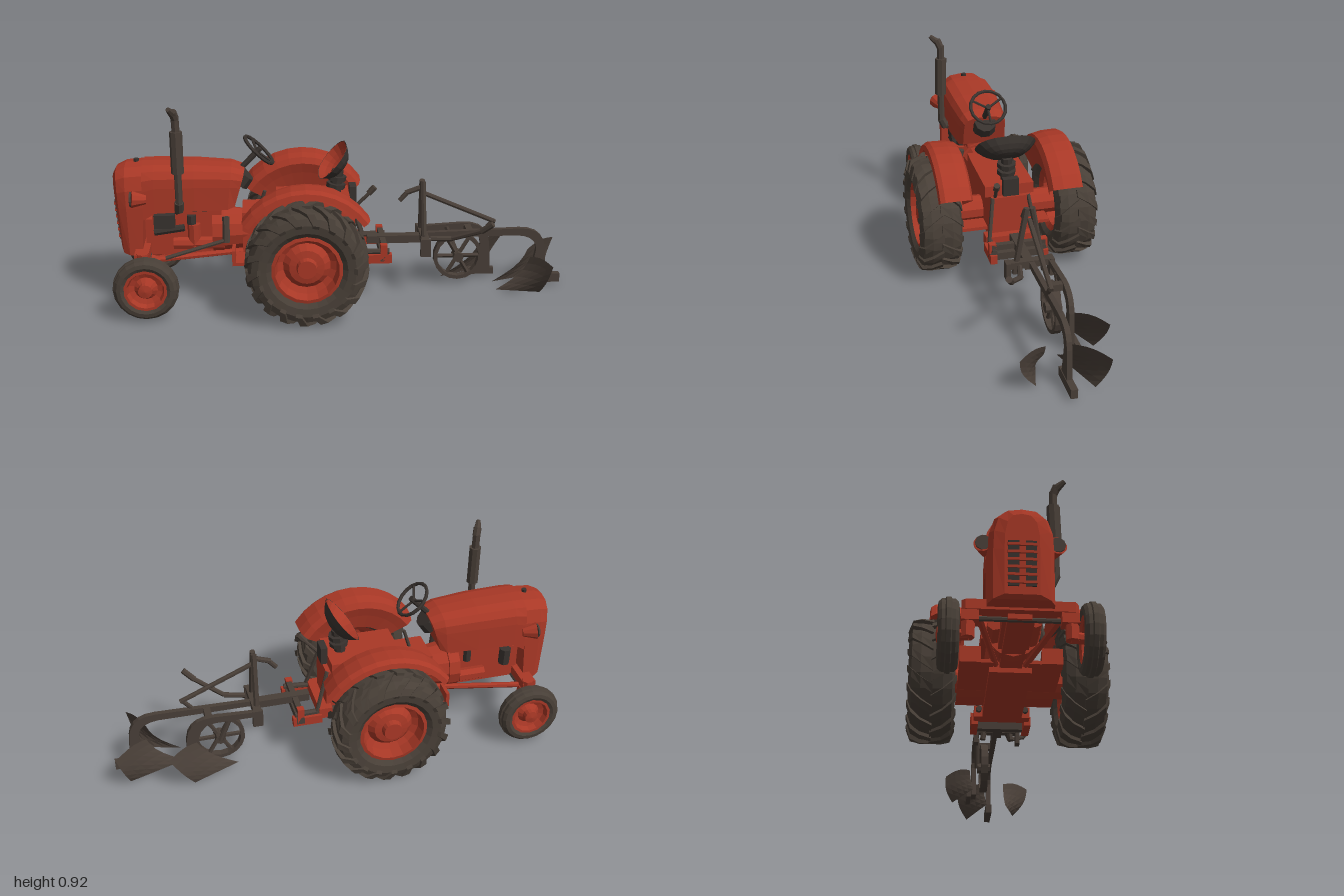
import * as THREE from 'three';
import { mergeGeometries } from 'three/addons/utils/BufferGeometryUtils.js';

const paint = (name, color) => new THREE.MeshStandardMaterial({ name, color, side: THREE.DoubleSide });
const V = (p) => new THREE.Vector3(...p);

// Faceted copy of a geometry
function facet(geo) {
  const g = geo.index ? geo.toNonIndexed() : geo;
  g.computeVertexNormals();
  return g;
}

// Curved sheet: fn(u, v) returns a point
function sheet(fn, nu, nv) {
  const g = new THREE.PlaneGeometry(1, 1, nu, nv), p = g.attributes.position;
  for (let i = 0; i < p.count; i++) p.setXYZ(i, ...fn(p.getX(i) + 0.5, p.getY(i) + 0.5));
  return g;
}

// Arched cross-sections [xTop, xBottom, halfWidth, top, bottom] joined along x
function loft(sections) {
  const arch = [[1, 0], [1, 0.55], [0.97, 0.75], [0.82, 0.9], [0.5, 0.98], [0, 1]];
  const half = [...arch, ...arch.slice(0, -1).reverse().map(([z, t]) => [-z, t])];
  const pos = [], idx = [], n = half.length;
  for (const [xt, xb, w, top, bot] of sections)
    for (const [z, t] of half) pos.push(xb + (xt - xb) * t, bot + (top - bot) * t, z * w);
  for (let s = 0; s < sections.length - 1; s++)
    for (let i = 0; i < n; i++) {
      const a = s * n + i, b = s * n + (i + 1) % n;
      idx.push(a, a + n, b, b, a + n, b + n);
    }
  const last = (sections.length - 1) * n;
  for (let i = 1; i < n - 1; i++) idx.push(0, i, i + 1, last, last + i + 1, last + i);
  const g = new THREE.BufferGeometry();
  g.setAttribute('position', new THREE.Float32BufferAttribute(pos, 3));
  g.setIndex(idx);
  return g;
}

// Straight round bar between two points
function rod(a, b, r, r2 = r, sides = 7) {
  const A = V(a), B = V(b), d = B.clone().sub(A);
  const g = new THREE.CylinderGeometry(r2, r, d.length(), sides);
  g.applyQuaternion(new THREE.Quaternion().setFromUnitVectors(V([0, 1, 0]), d.normalize()));
  return g.translate(...A.add(B).multiplyScalar(0.5).toArray());
}

const box = (x0, x1, y0, y1, z0, z1) => new THREE.BoxGeometry(x1 - x0, y1 - y0, Math.abs(z1 - z0))
  .translate((x0 + x1) / 2, (y0 + y1) / 2, (z0 + z1) / 2);

// Solid of revolution about the z axis; points are [radius, z]
const spin = (pts, sides, start = 0, length = Math.PI * 2) => new THREE.LatheGeometry(
  pts.map(([r, z]) => new THREE.Vector2(r, z)), sides, start, length).rotateX(Math.PI / 2);

// Tread bar wrapped from the tyre centre over its shoulder
function lug(a0, s) {
  const path = [[0.26, -0.004], [0.261, 0.045], [0.252, 0.082], [0.208, 0.1]];
  const g = new THREE.BoxGeometry(1, 1, 1, 1, 1, 3), p = g.attributes.position;
  for (let i = 0; i < p.count; i++) {
    const k = Math.round((p.getZ(i) + 0.5) * 3), [r, z] = path[k];
    const a = a0 - s * p.getX(i) * 0.13 - k * 0.12, low = p.getY(i) < 0;
    const rr = low ? r - 0.03 : r;
    p.setXYZ(i, Math.cos(a) * rr, Math.sin(a) * rr, s * (low ? z * 0.85 : z));
  }
  return g;
}

export function createModel() {
  const red = paint('redPaint', 0xa93826), rubber = paint('tyreRubber', 0x483f37);
  const steel = paint('darkSteel', 0x483e37), black = paint('blackIron', 0x38322e);
  const model = new THREE.Group();
  model.name = 'tractorWithPlough';
  const group = (name, parent = model) => {
    const g = new THREE.Group();
    g.name = name;
    parent.add(g);
    return g;
  };
  const add = (parent, name, mat, ...geos) => {
    const m = new THREE.Mesh(mergeGeometries(geos.map((g) => {
      const f = facet(g);
      f.deleteAttribute('uv');
      return f;
    })), mat);
    m.name = name;
    parent.add(m);
    return m;
  };
  const both = (fn) => [fn(1), fn(-1)];

  // Wheels
  for (const s of [1, -1]) {
    const rear = group('rearWheel');
    rear.position.set(-0.18, 0.27, s * 0.31);
    add(rear, 'rearTyre', rubber, spin([[0.145, -0.07], [0.17, -0.09], [0.205, -0.094], [0.233, -0.082],
      [0.247, -0.045], [0.247, 0.045], [0.233, 0.082], [0.205, 0.094], [0.17, 0.09], [0.145, 0.07], [0.145, -0.07]], 24));
    const lugs = [];
    for (let i = 0; i < 18; i++) {
      const a = i / 18 * Math.PI * 2;
      lugs.push(lug(a, 1), lug(a + Math.PI / 18, -1));
    }
    add(rear, 'rearTread', rubber, ...lugs);
    const rim = add(rear, 'rearRim', red, spin([[0.15, 0.075], [0.135, 0.078], [0.125, 0.03], [0.1, 0.015],
      [0.075, 0.04], [0.045, 0.045], [0.04, 0.07], [0, 0.07]], 18), spin([[0.15, -0.075], [0.125, -0.06], [0.125, 0.03]], 18));
    if (s < 0) rim.rotation.y = Math.PI;

    const front = group('frontWheel');
    front.position.set(-0.86, 0.155, s * 0.26);
    add(front, 'frontTyre', rubber, spin([[0.088, -0.03], [0.105, -0.039], [0.122, -0.036], [0.133, -0.025],
      [0.134, -0.012], [0.14, -0.008], [0.14, 0.008], [0.134, 0.012], [0.133, 0.025], [0.122, 0.036],
      [0.105, 0.039], [0.088, 0.03], [0.088, -0.03]], 20));
    const frontRim = add(front, 'frontRim', red, spin([[0.092, 0.033], [0.08, 0.033], [0.072, 0.008], [0.05, 0],
      [0.032, 0.015], [0.03, 0.04], [0, 0.045]], 14), spin([[0.09, -0.033], [0.075, -0.025], [0.072, 0.008]], 14));
    if (s < 0) frontRim.rotation.y = Math.PI;

    // Mudguard with its inner wall
    const guard = add(model, 'rearMudguard', red, spin([[0.17, s * 0.2], [0.24, s * 0.185], [0.285, s * 0.172],
      [0.312, s * 0.185], [0.322, s * 0.23], [0.324, s * 0.3], [0.312, s * 0.32], [0.29, s * 0.325]], 10,
    Math.PI * 0.69, Math.PI * 0.62));
    guard.position.set(-0.18, 0.27, 0);
  }

  // Bonnet, nose and grille
  add(model, 'nose', red, loft([[-1, -0.975, 0.065, 0.59, 0.27], [-0.985, -0.962, 0.105, 0.618, 0.255],
    [-0.945, -0.935, 0.122, 0.636, 0.25], [-0.86, -0.88, 0.126, 0.642, 0.25]]));
  add(model, 'bonnet', red, loft([[-0.87, -0.87, 0.126, 0.642, 0.41], [-0.82, -0.82, 0.126, 0.642, 0.44],
    [-0.65, -0.65, 0.123, 0.638, 0.445], [-0.49, -0.51, 0.112, 0.625, 0.445], [-0.435, -0.48, 0.098, 0.605, 0.455]]));
  const grille = group('grille');
  grille.position.set(-0.9875, 0.41, 0);
  grille.rotation.z = 0.076;
  add(grille, 'grilleOpenings', black, ...both((s) => box(-0.004, 0.003, -0.11, 0.07, s * 0.012, s * 0.052)));
  const slats = [];
  for (let i = 0; i < 6; i++) slats.push(box(-0.008, 0.001, -0.1 + i * 0.03, -0.09 + i * 0.03, -0.054, 0.054));
  add(grille, 'grilleSlats', red, ...slats);
  add(model, 'headlamps', red, ...both((s) => rod([-0.915, 0.512, s * 0.138], [-0.855, 0.505, s * 0.125], 0.038, 0.02, 10)));
  add(model, 'headlampLenses', steel, ...both((s) => rod([-0.921, 0.512, s * 0.138], [-0.914, 0.512, s * 0.138], 0.031, 0.031, 10)));
  add(model, 'radiatorCap', black, rod([-0.9, 0.635, 0], [-0.9, 0.65, 0], 0.012));

  // Engine, gearbox and axles
  add(model, 'engineBlock', red, box(-0.87, -0.56, 0.24, 0.39, -0.06, 0.06), box(-0.88, -0.42, 0.22, 0.26, -0.045, 0.045),
    box(-0.84, -0.54, 0.385, 0.45, -0.065, 0.065));
  add(model, 'engineFittings', black, box(-0.83, -0.74, 0.36, 0.42, 0.055, 0.1), rod([-0.8, 0.32, -0.075], [-0.8, 0.4, -0.08], 0.026),
    rod([-0.83, 0.34, 0.085], [-0.7, 0.36, 0.09], 0.016), box(-0.74, -0.6, 0.43, 0.45, 0.05, 0.085),
    rod([-0.67, 0.37, 0.07], [-0.67, 0.41, 0.07], 0.02), rod([-0.62, 0.36, -0.07], [-0.62, 0.42, -0.07], 0.018));
  add(model, 'engineCovers', red, rod([-0.66, 0.27, 0.07], [-0.66, 0.37, 0.07], 0.028, 0.028, 8),
    rod([-0.75, 0.28, 0.07], [-0.56, 0.28, 0.07], 0.028, 0.028, 8), rod([-0.7, 0.29, -0.08], [-0.58, 0.29, -0.08], 0.03),
    rod([-0.58, 0.32, 0], [-0.53, 0.32, 0], 0.11, 0.11, 12), rod([-0.53, 0.32, 0], [-0.42, 0.32, 0], 0.1, 0.085, 12));
  add(model, 'gearbox', red, box(-0.45, 0.04, 0.2, 0.42, -0.085, 0.085), box(-0.3, 0.02, 0.42, 0.47, -0.11, 0.11),
    rod([-0.18, 0.27, -0.33], [-0.18, 0.27, 0.33], 0.06, 0.06, 10));
  add(model, 'footPlates', red, ...both((s) => box(-0.49, -0.05, 0.222, 0.237, s * 0.07, s * 0.205)),
    ...both((s) => box(-0.495, -0.48, 0.222, 0.29, s * 0.12, s * 0.205)));
  add(model, 'frontAxle', red, box(-0.91, -0.85, 0.24, 0.28, -0.2, 0.2),
    ...both((s) => rod([-0.875, 0.14, s * 0.19], [-0.875, 0.285, s * 0.19], 0.026)),
    ...both((s) => box(-0.905, -0.845, 0.2, 0.24, s * 0.15, s * 0.215)),
    ...both((s) => rod([-0.87, 0.155, s * 0.185], [-0.86, 0.155, s * 0.27], 0.022)),
    ...both((s) => rod([-0.86, 0.235, s * 0.15], [-0.45, 0.235, s * 0.06], 0.013)));
  add(model, 'steeringRods', steel, rod([-0.86, 0.225, -0.18], [-0.86, 0.225, 0.18], 0.01),
    rod([-0.78, 0.25, 0.165], [-0.53, 0.31, 0.13], 0.009), rod([-0.52, 0.41, 0.1], [-0.52, 0.3, 0.125], 0.016));

  // Exhaust
  add(model, 'exhaustPipe', steel, rod([-0.73, 0.43, 0.06], [-0.715, 0.465, 0.135], 0.02),
    rod([-0.715, 0.455, 0.135], [-0.712, 0.5, 0.155], 0.02), rod([-0.712, 0.49, 0.155], [-0.712, 0.64, 0.155], 0.016),
    rod([-0.712, 0.63, 0.155], [-0.712, 0.81, 0.15], 0.027, 0.027, 8),
    rod([-0.712, 0.8, 0.15], [-0.714, 0.875, 0.15], 0.017), rod([-0.713, 0.865, 0.15], [-0.722, 0.9, 0.165], 0.018),
    rod([-0.721, 0.89, 0.162], [-0.736, 0.917, 0.195], 0.018, 0.01));

  // Dashboard and steering wheel
  add(model, 'dashboard', black, rod([-0.47, 0.545, 0], [-0.435, 0.58, 0], 0.06, 0.05, 10));
  const steering = group('steeringWheel');
  steering.position.set(-0.372, 0.678, 0);
  steering.rotation.z = -0.77;
  const spokes = [0, 1, 2].map((i) => rod([0, -0.01, 0],
    [Math.cos(i * 2.094) * 0.082, 0, Math.sin(i * 2.094) * 0.082], 0.006, 0.006, 5));
  add(steering, 'steeringRim', black, new THREE.TorusGeometry(0.082, 0.008, 6, 16).rotateX(Math.PI / 2), ...spokes,
    rod([0, -0.12, 0], [0, 0.01, 0], 0.013));

  // Seat: tilted scoop, painted inside over a dark shell
  const scoop = (depth, lift) => sheet((u, v) => {
    const a = u * Math.PI * 2, r = v * (1 + lift), e = Math.cos(a) * r, d = depth * (1 - v ** 3);
    const z = Math.sign(Math.sin(a)) * Math.abs(Math.sin(a)) ** 0.75 * r;
    return [-0.055 + 0.06 * e + 0.76 * d, 0.627 + 0.068 * e - 0.65 * d, 0.133 * z];
  }, 18, 5);
  add(model, 'seatPan', red, scoop(0.05, 0));
  add(model, 'seatShell', black, scoop(0.057, 0.03));
  add(model, 'seatPost', black, rod([-0.045, 0.46, 0], [-0.03, 0.58, 0], 0.026, 0.026, 8),
    rod([-0.04, 0.5, 0], [-0.037, 0.52, 0], 0.042, 0.042, 8), rod([-0.036, 0.535, 0], [-0.033, 0.555, 0], 0.042, 0.042, 8),
    box(0.02, 0.05, 0.43, 0.51, -0.035, 0.035));
  add(model, 'controlLevers', steel, rod([0.04, 0.43, 0.07], [0.105, 0.5, 0.08], 0.008),
    rod([0.1, 0.495, 0.08], [0.125, 0.525, 0.083], 0.014), rod([-0.38, 0.4, 0.02], [-0.35, 0.5, 0.03], 0.008));

  // Rear linkage
  const hitch = group('hitch');
  add(hitch, 'hitchBrackets', red, ...both((s) => box(0.07, 0.2, 0.185, 0.225, s * 0.1, s * 0.13)),
    ...both((s) => box(0.15, 0.18, 0.2, 0.27, s * 0.1, s * 0.13)), box(0.02, 0.08, 0.2, 0.25, -0.12, 0.12));
  add(hitch, 'liftArms', steel, ...both((s) => rod([0.035, 0.42, s * 0.08], [0.09, 0.23, s * 0.11], 0.009)),
    ...both((s) => rod([0, 0.23, s * 0.1], [0.19, 0.235, s * 0.11], 0.013)),
    box(0.15, 0.185, 0.195, 0.228, -0.13, 0.13), box(0.155, 0.18, 0.24, 0.265, -0.12, 0.12));

  // Plough frame
  const plough = group('plough');
  add(plough, 'drawbar', steel, box(0.1, 0.36, 0.235, 0.27, -0.02, 0.02));
  add(plough, 'mast', steel, ...both((s) => rod([0.35, 0.22, s * 0.065], [0.345, 0.52, s * 0.012], 0.013)),
    box(0.335, 0.37, 0.25, 0.28, -0.1, 0.1), ...both((s) => box(0.33, 0.375, 0.2, 0.28, s * 0.085, s * 0.105)),
    rod([0.34, 0.49, 0], [0.27, 0.465, 0], 0.012), rod([0.28, 0.47, 0], [0.245, 0.43, 0], 0.011),
    rod([0.345, 0.465, 0], [0.675, 0.32, 0], 0.011), rod([0.67, 0.33, 0], [0.62, 0.27, 0], 0.01));
  add(plough, 'depthLever', steel, rod([0.38, 0.265, 0.05], [0.47, 0.27, 0.07], 0.012),
    rod([0.47, 0.27, 0.07], [0.6, 0.335, 0.145], 0.011), rod([0.59, 0.33, 0.14], [0.635, 0.37, 0.162], 0.014));

  // Curved beam that bends down into a standard
  const beam = (x0, x1, z) => {
    const s = new THREE.Shape();
    s.moveTo(x0, 0.25);
    s.lineTo(x1 - 0.13, 0.252);
    s.quadraticCurveTo(x1 - 0.04, 0.245, x1 - 0.04, 0.18);
    s.lineTo(x1 - 0.065, 0.04);
    s.lineTo(x1 + 0.01, 0.04);
    s.lineTo(x1, 0.19);
    s.quadraticCurveTo(x1 - 0.01, 0.285, x1 - 0.12, 0.285);
    s.lineTo(x0, 0.275);
    return new THREE.ExtrudeGeometry(s, { depth: 0.022, bevelEnabled: false, curveSegments: 5 }).translate(0, 0, z - 0.011);
  };
  add(plough, 'beams', steel, beam(0.34, 0.91, -0.006), beam(0.35, 0.67, -0.09),
    box(0.55, 0.58, 0.25, 0.28, -0.09, 0));
  add(plough, 'landsides', steel, box(0.82, 0.985, 0.02, 0.06, -0.02, 0.008), box(0.58, 0.7, 0.02, 0.05, -0.125, -0.105));

  // Mouldboards: tip, rear foot, rear top and front top corners
  const board = (tip, foot, top, brow, bulge) => sheet((u, v) => {
    const lo = V(tip).lerp(V(foot), u), hi = V(brow).lerp(V(top), u), p = lo.lerp(hi, v);
    p.z += bulge * u * Math.sin(Math.PI * v);
    p.x += 0.03 * (1 - u) * Math.sin(Math.PI * v);
    p.y += 0.016 * Math.sin(Math.PI * u) * v;
    return p.toArray();
  }, 5, 5);
  add(plough, 'mouldboards', steel,
    board([0.68, 0.015, -0.025], [0.93, 0.015, -0.11], [0.985, 0.175, -0.155], [0.84, 0.17, -0.03], -0.015),
    board([0.45, 0.015, -0.1], [0.66, 0.015, -0.19], [0.765, 0.18, -0.22], [0.63, 0.17, -0.11], -0.015),
    board([0.68, 0.015, 0.065], [0.87, 0.02, 0.115], [0.905, 0.17, 0.19], [0.83, 0.17, 0.065], 0.02));

  // Spoked depth wheel
  const wheel = group('depthWheel', plough);
  wheel.position.set(0.52, 0.14, -0.05);
  add(wheel, 'depthWheelRim', steel, spin([[0.095, -0.016], [0.112, -0.016], [0.112, 0.016], [0.095, 0.016], [0.095, -0.016]], 18),
    rod([0, 0, -0.03], [0, 0, 0.03], 0.024, 0.024, 8), ...[0, 1, 2, 3, 4, 5].map((i) =>
      rod([0, 0, 0], [Math.cos(i * Math.PI / 3) * 0.1, Math.sin(i * Math.PI / 3) * 0.1, 0], 0.01, 0.01, 5)));
  add(wheel, 'depthWheelArm', steel, rod([0, 0, -0.03], [-0.05, 0.13, -0.035], 0.012));
  return model;
}
